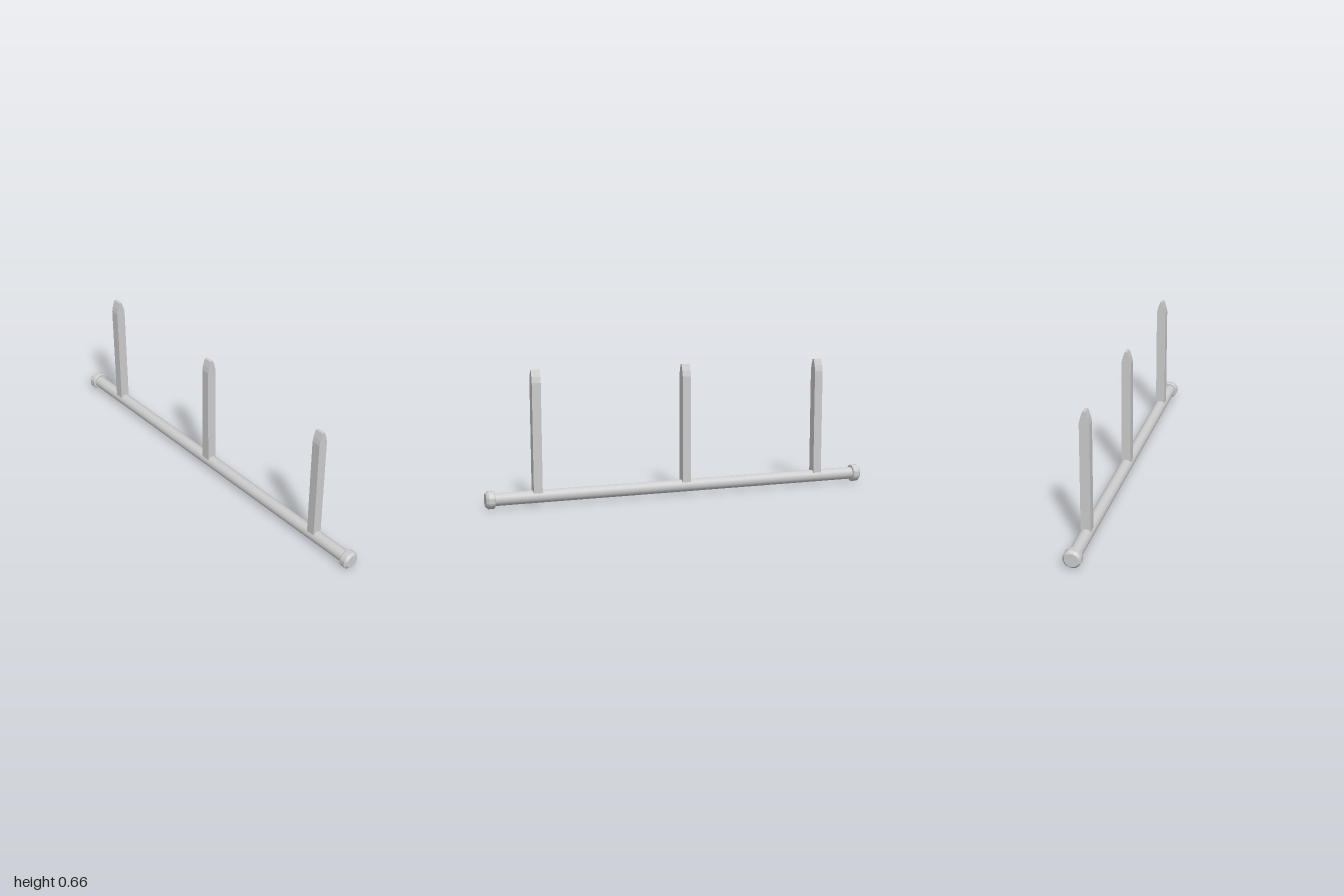
import * as THREE from 'three';
import { toCreasedNormals } from 'three/addons/utils/BufferGeometryUtils.js';

const AXIS_Y = 0.044; // height of the bar's axis
const material = new THREE.MeshStandardMaterial({ color: 0xcccccc });

function add(parent, name, geometry) {
  const mesh = new THREE.Mesh(geometry, material);
  mesh.name = name;
  parent.add(mesh);
  return mesh;
}

// Flat post with a tapered, blunt tip, extruded along z
function postGeometry(depth) {
  const right = [[0.024, AXIS_Y], [0.024, 0.6], [0.018, 0.628], [0.007, 0.66]];
  const left = right.map(([x, y]) => [-x, y]).reverse();
  const shape = new THREE.Shape([...right, ...left].map(([x, y]) => new THREE.Vector2(x, y)));
  return new THREE.ExtrudeGeometry(shape, { depth, bevelEnabled: false }).translate(0, 0, -depth / 2);
}

// Round cap with a chamfered outer rim, its outer face at z = 1
function capGeometry() {
  const profile = [[0, 0.957], [0.04, 0.957], [0.044, 0.961], [0.044, 0.988], [0.033, 1], [0, 1]]
    .map(([r, z]) => new THREE.Vector2(r, z));
  const lathe = new THREE.LatheGeometry(profile, 32).rotateX(Math.PI / 2);
  return toCreasedNormals(lathe, Math.PI / 6);
}

export function createModel() {
  const model = new THREE.Group();
  model.name = 'barWithPosts';

  // Long horizontal bar
  const bar = add(model, 'bar', new THREE.CylinderGeometry(0.031, 0.031, 1.95, 32).rotateX(Math.PI / 2));
  bar.position.y = AXIS_Y;

  // End caps
  const cap = capGeometry();
  for (const [name, turn] of [['frontCap', 0], ['backCap', Math.PI]]) {
    const mesh = add(model, name, cap);
    mesh.position.y = AXIS_Y;
    mesh.rotation.y = turn;
  }

  // Three upright posts
  const post = postGeometry(0.044);
  for (const [name, z] of [['frontPost', 0.746], ['middlePost', -0.019], ['backPost', -0.749]]) {
    add(model, name, post).position.z = z;
  }
  return model;
}
